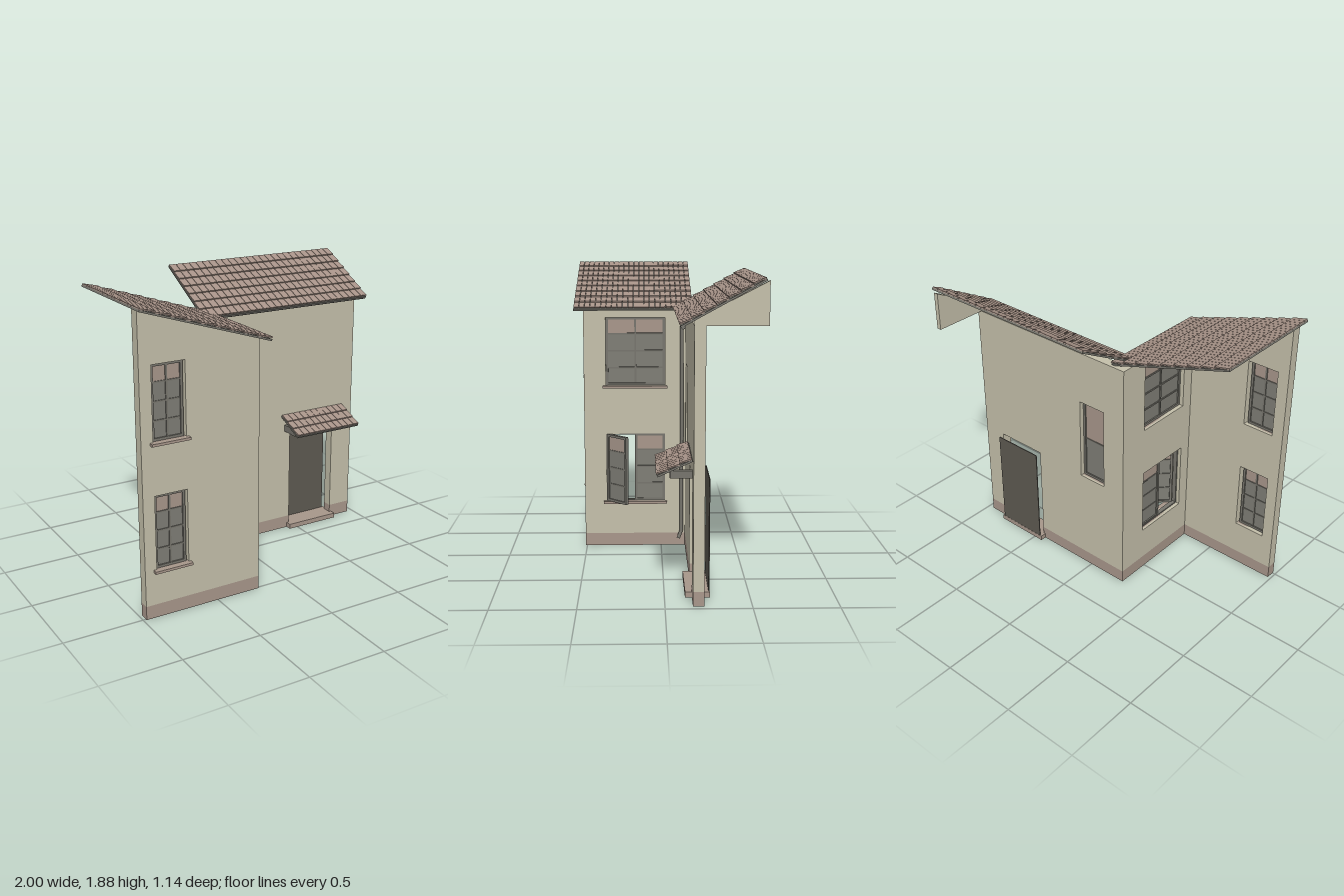
import * as THREE from 'three';
import { mergeGeometries } from 'three/addons/utils/BufferGeometryUtils.js';

const mat = (name, color) => {
  const m = new THREE.MeshStandardMaterial({ color });
  m.name = name;
  return m;
};

export function createModel() {
  const root = new THREE.Group();
  root.name = 'house';
  const plaster = mat('plaster', 0xc5c0ab);
  const stone = mat('plinth stone', 0xa8978b);
  const tile = mat('roof tile', 0xa79388);
  const trim = mat('grey trim', 0x77756d);
  const glass = mat('glass', 0x7f7e76);
  const doorPaint = mat('door paint', 0x5e5a52);
  const T = 0.065; // wall thickness

  const add = (name, geo, material, parent = root) => {
    const m = new THREE.Mesh(geo, material);
    m.name = name;
    parent.add(m);
    return m;
  };
  // box given by its two corners
  const box = (x0, x1, y0, y1, z0, z1) => new THREE.BoxGeometry(x1 - x0, y1 - y0, z1 - z0)
    .translate((x0 + x1) / 2, (y0 + y1) / 2, (z0 + z1) / 2);

  // upright slab from an outline, with rectangular openings [x0, x1, y0, y1]
  const slab = (outline, holes, depth) => {
    const s = new THREE.Shape(outline.map(p => new THREE.Vector2(...p)));
    for (const [a, b, c, d] of holes) {
      s.holes.push(new THREE.Path([[a, c], [a, d], [b, d], [b, c]].map(p => new THREE.Vector2(...p))));
    }
    return new THREE.ExtrudeGeometry(s, { depth, bevelEnabled: false });
  };

  // --- walls
  const P = 0.085; // plinth height
  const upper = [1.095, 1.545], lower = [0.31, 0.77];
  add('frontWall', slab([[-0.98, P], [-0.21, P], [-0.21, 1.605], [-0.98, 1.86]],
    [[-0.905, -0.695, ...upper], [-0.905, -0.695, ...lower]], T), plaster).position.z = 0.51 - T;
  const side = add('sideWall', slab([[-0.51 + T, P], [0.16, P], [0.16, 1.6], [-0.51 + T, 1.6]],
    [[-0.365, 0.025, ...upper], [-0.365, 0.025, ...lower]], T), plaster);
  side.rotation.y = Math.PI / 2;
  side.position.x = -0.21 - T;
  add('entranceWall', slab([[-0.21 - T, P], [0.45, P], [0.45, 0.71], [0.8, 0.71], [0.8, P], [0.96, P],
    [0.96, 1.6], [-0.21 - T, 1.6]], [[-0.115, 0.08, 0.7, 1.255]], T), plaster).position.z = -0.16 - T;
  const gable = add('gableEnd', slab([[0.16, 1.6], [0.57, 1.6], [0.57, 1.845], [0.16, 1.633]], [], 0.03), plaster);
  gable.rotation.y = Math.PI / 2;
  gable.position.x = 0.93;
  add('plinth', mergeGeometries([
    box(-0.98, -0.21, 0, P, 0.51 - T, 0.51),
    box(-0.21 - T, -0.21, 0, P, -0.16, 0.51 - T),
    box(-0.21 - T, 0.45, 0, P, -0.16 - T, -0.16),
    box(0.8, 0.96, 0, P, -0.16 - T, -0.16),
  ]), stone);

  // --- windows: frame, glazing bars and panes; rows are bar heights as fractions,
  // panes above the last bar are the tinted ones
  const frameBars = (w, h, b, d) => [
    box(-w / 2, -w / 2 + b, 0, h, -d / 2, d / 2), box(w / 2 - b, w / 2, 0, h, -d / 2, d / 2),
    box(-w / 2 + b, w / 2 - b, 0, b, -d / 2, d / 2), box(-w / 2 + b, w / 2 - b, h - b, h, -d / 2, d / 2)];
  const makeWindow = (name, w, h, cols, rows, x, y, z, ry = 0) => {
    const g = new THREE.Group();
    g.name = name;
    const b = 0.016, bars = frameBars(w, h, b, 0.024);
    for (let i = 1; i < cols; i++) {
      const cx = -w / 2 + w * i / cols;
      bars.push(box(cx - 0.006, cx + 0.006, b, h - b, -0.009, 0.009));
    }
    for (const r of rows) bars.push(box(-w / 2 + b, w / 2 - b, h * r - 0.005, h * r + 0.005, -0.008, 0.008));
    add('windowFrame', mergeGeometries(bars), trim, g);
    const split = h * rows[rows.length - 1];
    add('lowerPanes', box(-w / 2 + b, w / 2 - b, b, split, -0.003, 0.003), glass, g);
    add('upperPanes', box(-w / 2 + b, w / 2 - b, split, h - b, -0.003, 0.003), stone, g);
    g.position.set(x, y, z);
    g.rotation.y = ry;
    root.add(g);
  };
  const four = [0.26, 0.51, 0.76];
  for (const [y0, y1] of [upper, lower]) {
    makeWindow('frontWindow', 0.2, y1 - y0, 2, four, -0.805, y0, 0.485);
    add('frontSill', box(-0.925, -0.68, y0 - 0.016, y0, 0.46, 0.54), stone);
    add('sideSill', box(-0.26, -0.185, y0 - 0.016, y0, -0.04, 0.385), stone);
  }
  makeWindow('sideWindow', 0.39, 0.45, 2, four, -0.235, 1.095, 0.17, Math.PI / 2);
  makeWindow('closedCasement', 0.2, 0.46, 1, four, -0.235, 0.31, 0.075, Math.PI / 2);
  makeWindow('openCasement', 0.18, 0.455, 1, four, -0.155, 0.313, 0.29, Math.PI / 4);
  const casing = add('casementSurround', mergeGeometries(frameBars(0.39, 0.46, 0.008, 0.03)), trim);
  casing.position.set(-0.235, 0.31, 0.17);
  casing.rotation.y = Math.PI / 2;
  makeWindow('sashWindow', 0.19, 0.555, 1, [0.5], -0.0175, 0.7, -0.185);
  add('sashSill', box(-0.13, 0.1, 0.682, 0.7, -0.21, -0.13), stone);

  // --- door and step
  add('door', box(0.45, 0.8, 0.03, 0.705, -0.264, -0.258), doorPaint);
  add('doorStep', box(0.435, 0.815, 0, 0.033, -0.265, -0.12), stone);

  // --- tiled roofs: eave at the local origin, rising towards local -z
  const makeRoof = (name, width, run, rise, cols, rows, x, y, z, ry = 0) => {
    const g = new THREE.Group();
    g.name = name;
    const len = Math.hypot(run, rise), pw = width / cols, pl = len / rows;
    add('roofDeck', box(-width / 2, width / 2, 0, 0.012, -len, 0), trim, g);
    const tiles = [];
    for (let r = 0; r < rows; r++) {
      for (let c = 0; c < cols; c++) {
        tiles.push(new THREE.BoxGeometry(pw * 0.93, 0.008, pl)
          .rotateX(-Math.atan(0.008 / pl))
          .translate(-width / 2 + pw * (c + 0.5), 0.019, -pl * (r + 0.5)));
      }
    }
    add('roofTiles', mergeGeometries(tiles), tile, g);
    g.rotation.order = 'YXZ';
    g.rotation.set(Math.atan2(rise, run), ry, 0);
    g.position.set(x, y, z);
    root.add(g);
  };
  makeRoof('frontWingRoof', 0.775, 0.83, 0.268, 22, 9, -0.165, 1.592, 0.1825, Math.PI / 2);
  makeRoof('entranceWingRoof', 1.25, 0.465, 0.255, 26, 7, 0.375, 1.592, -0.087);
  makeRoof('doorCanopy', 0.495, 0.2, 0.09, 11, 3, 0.6275, 0.735, 0.04);
  for (const x of [0.423, 0.828]) {
    add('canopyBracket', box(x - 0.017, x + 0.017, 0.72, 0.765, -0.16, -0.03), trim);
  }

  // --- eaves gutter and downpipe
  add('gutter', new THREE.CylinderGeometry(0.011, 0.011, 1.19, 10).rotateZ(Math.PI / 2), trim)
    .position.set(0.405, 1.596, -0.098);
  const path = new THREE.CurvePath();
  const pts = [[-0.19, 1.6, -0.108], [-0.177, 1.56, -0.135], [-0.177, 0.11, -0.135], [-0.17, 0.06, -0.115]]
    .map(p => new THREE.Vector3(...p));
  for (let i = 0; i < 3; i++) path.add(new THREE.LineCurve3(pts[i], pts[i + 1]));
  const pipe = trim.clone();
  pipe.name = 'pipe grey';
  pipe.side = THREE.DoubleSide;
  add('downpipe', new THREE.TubeGeometry(path, 80, 0.012, 10), pipe);
  return root;
}
